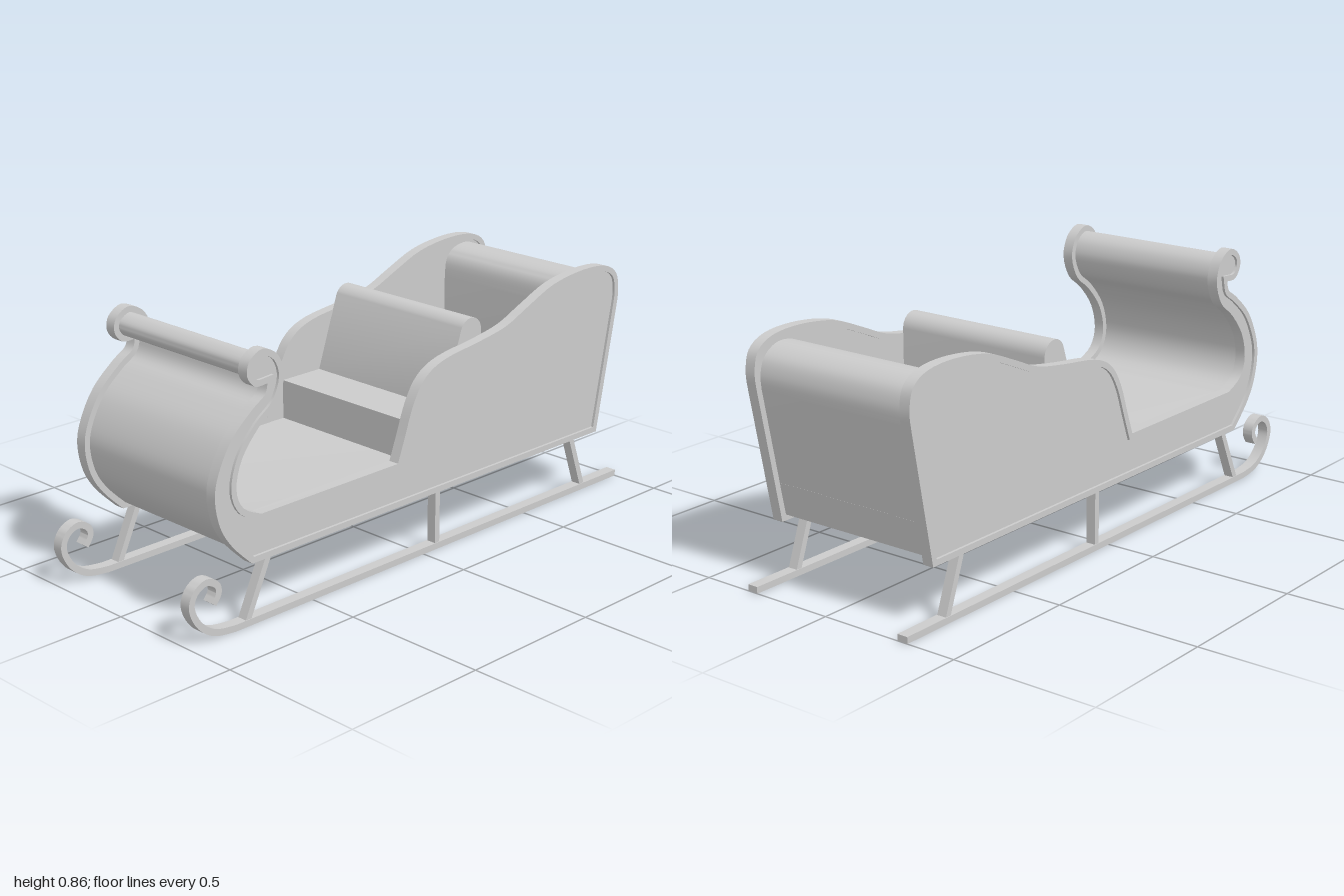
import * as THREE from 'three';
import { toCreasedNormals } from 'three/addons/utils/BufferGeometryUtils.js';

const material = new THREE.MeshStandardMaterial({ color: 0xcccccc });
const V = ([x, y]) => new THREE.Vector2(x, y);
const spline = (points, n = 4) => new THREE.SplineCurve(points.map(V)).getPoints((points.length - 1) * n);

// Extrudes a profile in x/y, centred on depth z
function slab(name, points, depth, z = 0, hole = null) {
  const shape = new THREE.Shape(points);
  if (hole) shape.holes.push(new THREE.Path(hole));
  const geometry = new THREE.ExtrudeGeometry(shape, { depth, bevelEnabled: false });
  geometry.translate(0, 0, z - depth / 2);
  const mesh = new THREE.Mesh(toCreasedNormals(geometry, 0.6), material);
  mesh.name = name;
  return mesh;
}

// Moves every point of a closed counter-clockwise outline inward by d
function inset(points, d) {
  const n = points.length;
  const normal = (a, b) => new THREE.Vector2(a.y - b.y, b.x - a.x).normalize();
  return points.map((p, i) => {
    const n1 = normal(points[(i + n - 1) % n], p);
    const n2 = normal(p, points[(i + 1) % n]);
    const scale = d / Math.max(0.6, 1 + n1.dot(n2));
    return p.clone().addScaledVector(n1.add(n2), scale);
  });
}

// Gives a centre line a constant thickness
function ribbon(points, t) {
  const left = [], right = [];
  points.forEach((p, i) => {
    const a = points[Math.max(0, i - 1)], b = points[Math.min(points.length - 1, i + 1)];
    const n = new THREE.Vector2(a.y - b.y, b.x - a.x).normalize();
    left.push(p.clone().addScaledVector(n, t / 2));
    right.push(p.clone().addScaledVector(n, -t / 2));
  });
  return right.concat(left.reverse());
}

export function createModel() {
  const sleigh = new THREE.Group();
  sleigh.name = 'sleigh';

  const sideZ = 0.306, sideDepth = 0.038, rim = 0.02, innerWidth = 0.576;

  // Side outline: bottom, sweeping rear edge, then the scrolled front
  const rear = spline([
    [0.965, 0.64], [0.972, 0.7], [0.955, 0.765], [0.89, 0.802], [0.77, 0.81], [0.62, 0.79],
    [0.49, 0.74], [0.38, 0.695], [0.25, 0.672], [0.09, 0.65], [0, 0.61], [-0.055, 0.535],
    [-0.095, 0.43], [-0.125, 0.35],
  ]);
  const front = spline([
    [-0.71, 0.35], [-0.78, 0.387], [-0.807, 0.455], [-0.782, 0.545], [-0.715, 0.625],
    [-0.645, 0.68], [-0.612, 0.76], [-0.635, 0.83], [-0.695, 0.862], [-0.747, 0.835],
    [-0.757, 0.79], [-0.727, 0.753], [-0.678, 0.752],
  ]);
  const frontOuter = spline([
    [-0.678, 0.752], [-0.69, 0.718], [-0.74, 0.685], [-0.82, 0.615], [-0.873, 0.525],
    [-0.891, 0.445], [-0.872, 0.35], [-0.825, 0.275], [-0.75, 0.2],
  ]).slice(1, -1);
  const outline = [V([-0.75, 0.2]), V([0.88, 0.2]), ...rear, ...front, ...frontOuter];
  const inner = inset(outline, rim);

  // Body: floor running up into the rolled dash
  const dash = inner.slice(2 + rear.length);
  sleigh.add(slab('floorAndDash',
    [inner[0], inner[1], V([0.885, 0.33]), ...dash], innerWidth));

  // Rear backrest with rounded top
  const backTop = spline([
    [0.944, 0.64], [0.947, 0.69], [0.93, 0.74], [0.89, 0.77], [0.845, 0.778],
    [0.79, 0.765], [0.758, 0.73], [0.75, 0.67],
  ]);
  sleigh.add(slab('rearBackrest', [V([0.75, 0.22]), inner[1], ...backTop], innerWidth));

  // Front bench and its leaning back with a round top
  sleigh.add(slab('benchSeat',
    [[-0.05, 0.32], [0.14, 0.32], [0.14, 0.465], [-0.05, 0.465]].map(V), innerWidth));
  const round = [];
  for (let i = 0; i <= 16; i++) {
    const a = Math.PI * i / 16 * 0.9;
    round.push(V([0.25 + 0.05 * Math.cos(a), 0.695 + 0.05 * Math.sin(a)]));
  }
  sleigh.add(slab('benchBack',
    [V([0.12, 0.32]), V([0.3, 0.32]), ...round, V([0.12, 0.465])], innerWidth));

  // Runner centre line with curled tip
  const curl = spline([
    [-0.82, 0.011], [-0.9, 0.024], [-0.958, 0.064], [-0.989, 0.125], [-0.975, 0.172],
    [-0.933, 0.195], [-0.893, 0.178], [-0.884, 0.147], [-0.904, 0.116],
  ], 6);
  const runner = ribbon([V([1, 0.011]), V([-0.7, 0.011]), ...curl], 0.022);
  const legs = [[[-0.77, 0.015], [-0.68, 0.21]], [[0.065, 0.015], [0.065, 0.21]], [[0.815, 0.015], [0.745, 0.21]]];

  for (const [side, s] of [['Front', 1], ['Back', -1]]) {
    const z = s * sideZ;
    sleigh.add(slab('sideRim' + side, outline, sideDepth, z, inner));
    sleigh.add(slab('sidePanel' + side, inner, 0.02, z));
    sleigh.add(slab('runner' + side, runner, sideDepth, z));
    legs.forEach((leg, i) => sleigh.add(slab(`leg${side}${i + 1}`, ribbon(leg.map(V), 0.021), 0.034, z)));
  }
  return sleigh;
}
